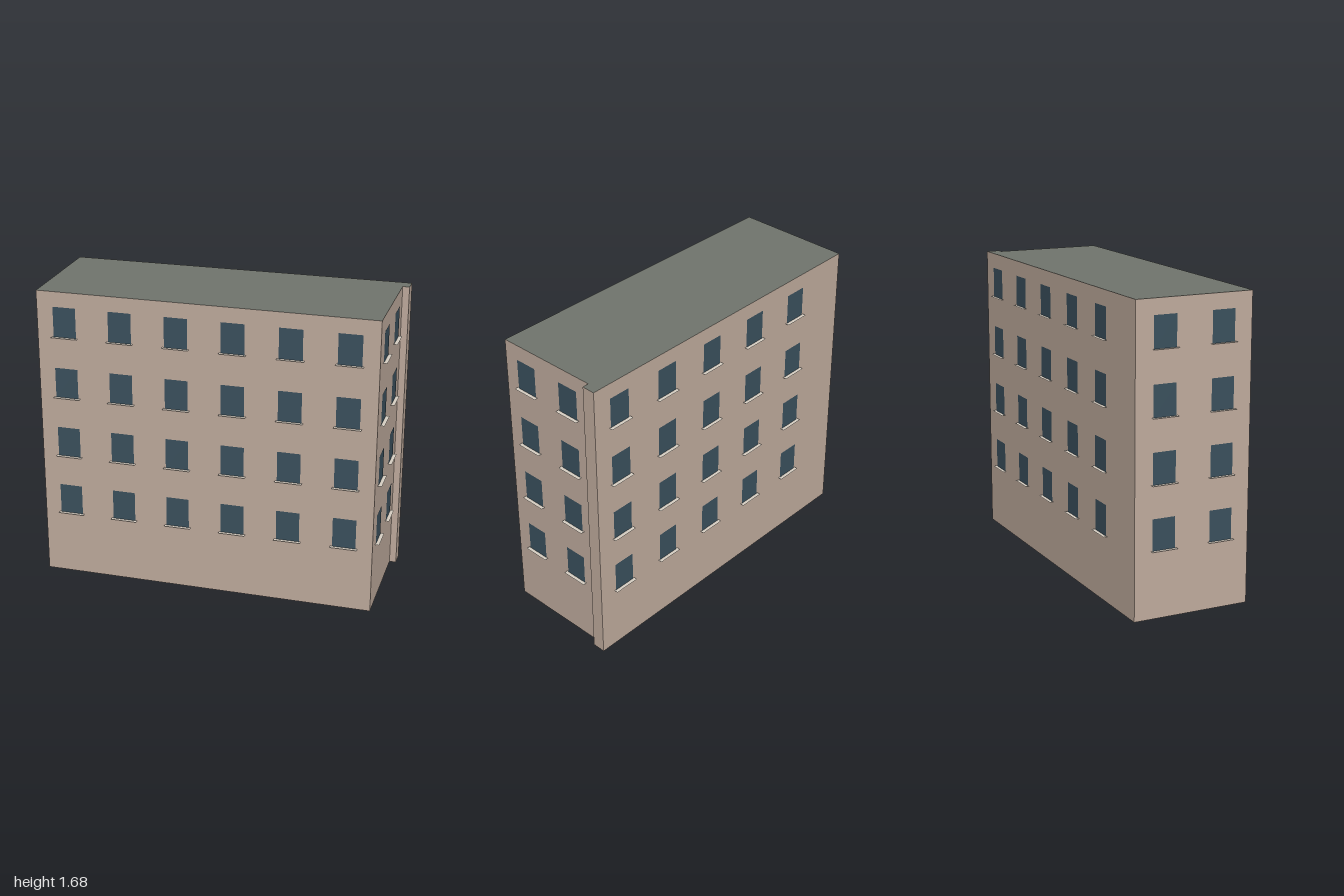
import * as THREE from 'three';

const HEIGHT = 1.685, STOREYS = 4, FIRST_SILL = 0.372, STOREY = 0.352;
const WIN_W = 0.13, WIN_H = 0.172, SILL_W = 0.15, SILL_D = 0.023;

// Footprint corners as [x, z], running from the front left corner past the right side
const PLAN = [
  [-0.89, 0.48], [0.985, 0.2], [0.895, -0.405], [0.932, -0.411],
  [0.922, -0.487], [-0.78, -0.214], [-0.99, -0.18],
];

// Walls with windows: start corner, end corner, windows per storey
const WALLS = [
  ['front', 0, 1, 6], ['right', 1, 2, 2], ['back', 4, 5, 5], ['left', 6, 0, 2],
];

const mat = (color, side = THREE.FrontSide) => new THREE.MeshStandardMaterial({ color, side });

export function createModel() {
  const model = new THREE.Group();
  model.name = 'apartmentBlock';
  const wallMat = mat(0xbfab9d), roofMat = mat(0x70746c);
  const glassMat = mat(0x3a505d), sillMat = mat(0xd6cec2, THREE.DoubleSide);

  // Body: extruded footprint, caps are roof and underside
  const shape = new THREE.Shape(PLAN.map(([x, z]) => new THREE.Vector2(x, -z)));
  const bodyGeo = new THREE.ExtrudeGeometry(shape, { depth: HEIGHT, bevelEnabled: false });
  bodyGeo.rotateX(-Math.PI / 2);
  const body = new THREE.Mesh(bodyGeo, [roofMat, wallMat]);
  body.name = 'wallsAndRoof';
  model.add(body);

  // Flush window panes and thin flat sills
  const paneGeo = new THREE.PlaneGeometry(WIN_W, WIN_H).translate(0, WIN_H / 2, 0.003);
  const sillGeo = new THREE.PlaneGeometry(SILL_W, SILL_D).rotateX(-Math.PI / 2).translate(0, 0, SILL_D / 2);

  for (const [name, from, to, count] of WALLS) {
    const [x0, z0] = PLAN[from], [x1, z1] = PLAN[to];
    const length = Math.hypot(x1 - x0, z1 - z0);
    const wall = new THREE.Group();
    wall.name = name + 'Windows';
    wall.position.set(x0, 0, z0);
    wall.rotation.y = Math.atan2(z0 - z1, x1 - x0);
    for (let s = 0; s < STOREYS; s++) {
      for (let i = 0; i < count; i++) {
        const pane = new THREE.Mesh(paneGeo, glassMat);
        pane.name = 'windowPane';
        const sill = new THREE.Mesh(sillGeo, sillMat);
        sill.name = 'windowSill';
        for (const part of [pane, sill]) {
          part.position.set(((i + 0.5) / count) * length, FIRST_SILL + s * STOREY, 0);
          wall.add(part);
        }
      }
    }
    model.add(wall);
  }
  return model;
}
